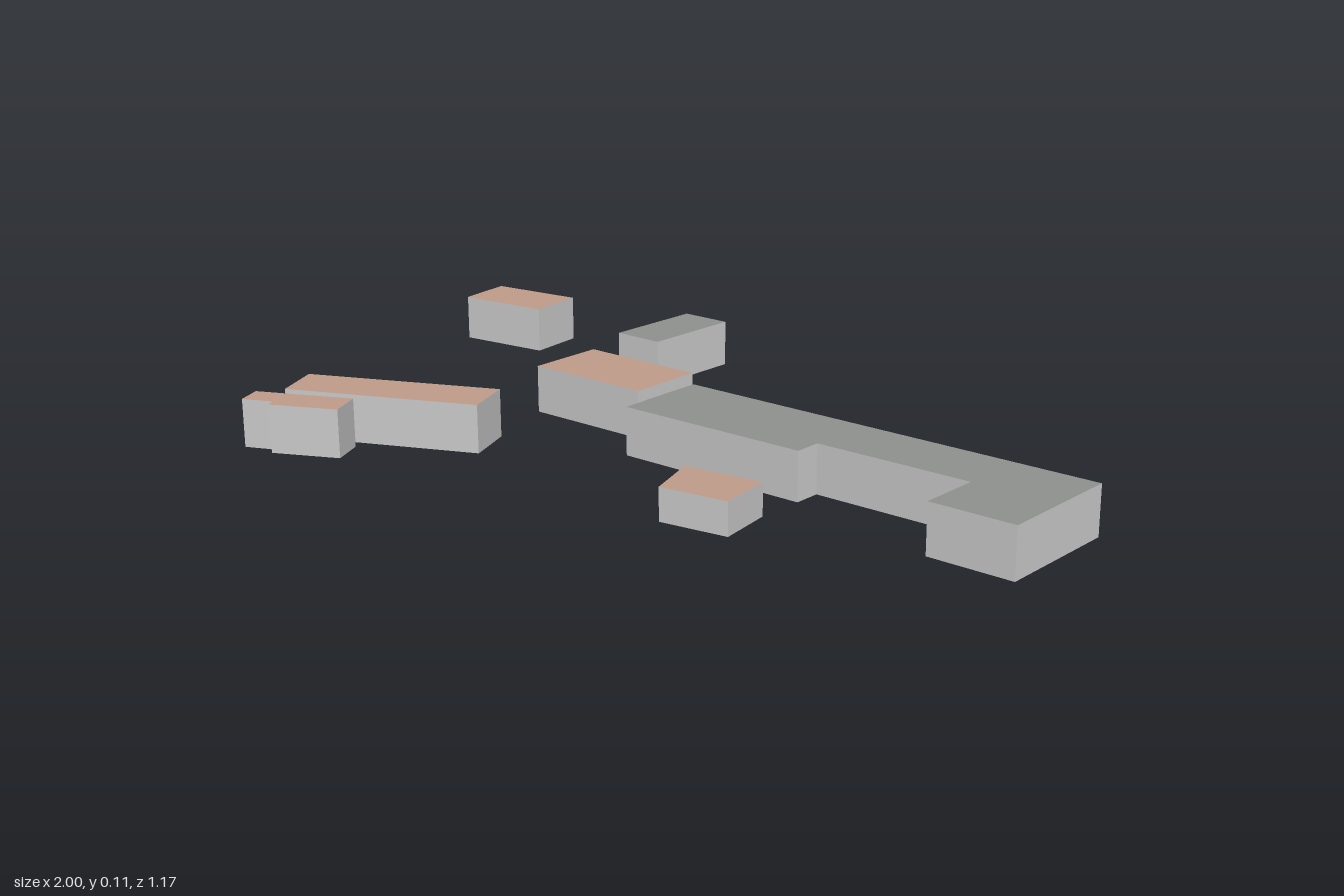
import * as THREE from 'three';

const HEIGHT = 0.113;
const wallMaterial = new THREE.MeshStandardMaterial({ color: 0xcccccc, flatShading: true, side: THREE.DoubleSide });
const roseRoof = new THREE.MeshStandardMaterial({ color: 0xc09c8a, side: THREE.DoubleSide });
const greyRoof = new THREE.MeshStandardMaterial({ color: 0x8e918d, side: THREE.DoubleSide });

// Footprints are [x, z] corners, clockwise seen from above
const buildings = [
  { name: 'backBlock', roof: roseRoof, plan: [[-1, -0.575], [-0.754, -0.57], [-0.758, -0.42], [-1, -0.428]] },
  { name: 'backWing', roof: greyRoof, plan: [[-0.402, -0.588], [-0.273, -0.569], [-0.314, -0.313], [-0.444, -0.334]] },
  { name: 'centreBlock', roof: roseRoof, plan: [[-0.41, -0.173], [-0.094, -0.124], [-0.121, 0.065], [-0.437, 0.019]] },
  {
    name: 'mainHall', roof: greyRoof,
    plan: [[-0.043, -0.047], [1, 0.108], [0.952, 0.412], [0.754, 0.382],
      [0.778, 0.236], [0.406, 0.183], [0.396, 0.247], [-0.076, 0.18]],
  },
  { name: 'longBlock', roof: roseRoof, plan: [[-0.851, 0.356], [-0.396, 0.219], [-0.364, 0.344], [-0.813, 0.476]] },
  {
    name: 'notchedBlock', roof: roseRoof,
    plan: [[-0.857, 0.524], [-0.63, 0.452], [-0.604, 0.533], [-0.759, 0.585], [-0.768, 0.564], [-0.84, 0.585]],
  },
  { name: 'lowBlock', roof: roseRoof, height: 0.075, plan: [[0.189, 0.358], [0.377, 0.358], [0.377, 0.495], [0.214, 0.495]] },
];

// Ring of upright wall panels, open at the bottom
function wallGeometry(plan, height) {
  const positions = [];
  const indices = [];
  plan.forEach(([x, z], i) => {
    const [nx, nz] = plan[(i + 1) % plan.length];
    const k = i * 4;
    positions.push(nx, 0, nz, x, 0, z, x, height, z, nx, height, nz);
    indices.push(k, k + 1, k + 2, k, k + 2, k + 3);
  });
  const geometry = new THREE.BufferGeometry();
  geometry.setAttribute('position', new THREE.Float32BufferAttribute(positions, 3));
  geometry.setIndex(indices);
  geometry.computeVertexNormals();
  return geometry;
}

// Flat roof filling the footprint
function roofGeometry(plan, height) {
  const shape = new THREE.Shape(plan.map(([x, z]) => new THREE.Vector2(x, -z)));
  return new THREE.ShapeGeometry(shape).rotateX(-Math.PI / 2).translate(0, height, 0);
}

export function createModel() {
  const model = new THREE.Group();
  model.name = 'buildingGroup';
  for (const { name, roof, plan, height = HEIGHT } of buildings) {
    const building = new THREE.Group();
    building.name = name;
    const walls = new THREE.Mesh(wallGeometry(plan, height), wallMaterial);
    walls.name = 'walls';
    const top = new THREE.Mesh(roofGeometry(plan, height), roof);
    top.name = 'roof';
    building.add(walls, top);
    model.add(building);
  }
  return model;
}
